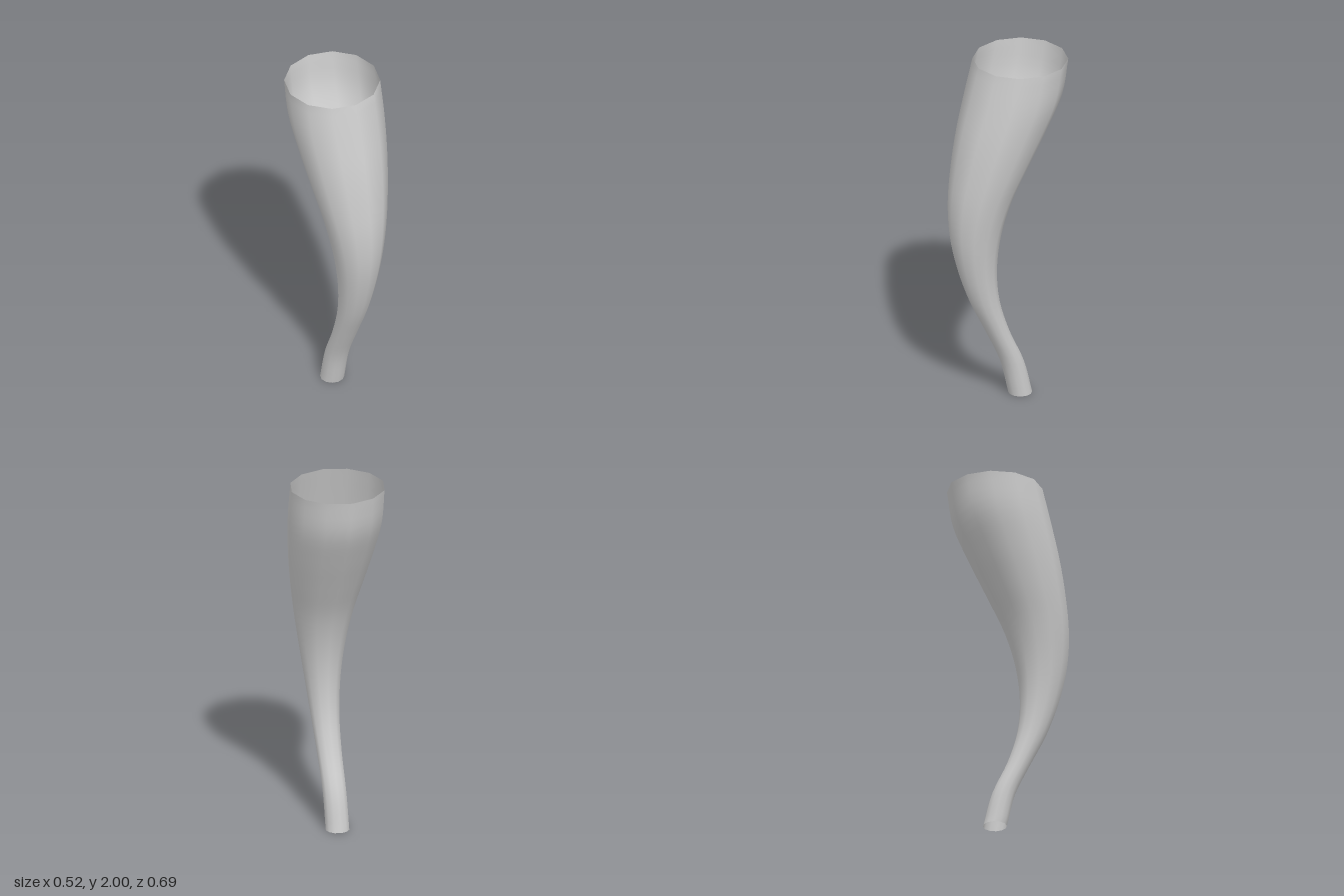
import * as THREE from 'three';
import { mergeVertices } from 'three/addons/utils/BufferGeometryUtils.js';

const HEIGHT = 2;

// Horizontal sections at equal steps of height: [front z, back z, half width]
const SECTIONS = [
  [-0.02, -0.15, 0.066],
  [0.03, -0.098, 0.066],
  [0.122, -0.008, 0.070],
  [0.22, 0.054, 0.081],
  [0.291, 0.072, 0.101],
  [0.334, 0.05, 0.130],
  [0.341, -0.01, 0.166],
  [0.318, -0.11, 0.204],
  [0.28, -0.216, 0.236],
  [0.228, -0.31, 0.258],
  [0.173, -0.345, 0.260],
];

export function createModel() {
  const group = new THREE.Group();
  group.name = 'curvedHorn';

  const profile = new THREE.CatmullRomCurve3(
    SECTIONS.map((s) => new THREE.Vector3(...s)), false, 'catmullrom', 0.5);

  // Open twelve-sided tube, each ring fitted to the swept profile
  let geometry = new THREE.CylinderGeometry(1, 1, HEIGHT, 12, 40, true);
  geometry.translate(0, HEIGHT / 2, 0);
  geometry.deleteAttribute('uv');
  geometry.deleteAttribute('normal');
  geometry = mergeVertices(geometry);

  const pos = geometry.attributes.position;
  for (let i = 0; i < pos.count; i++) {
    const y = pos.getY(i);
    const t = THREE.MathUtils.clamp(y / HEIGHT, 0, 1);
    const { x: front, y: back, z: halfWidth } = profile.getPoint(t);
    const z = (front + back) / 2 + pos.getZ(i) * (front - back) / 2;
    pos.setXYZ(i, pos.getX(i) * halfWidth, y, z);
  }
  geometry.computeVertexNormals();

  const shell = new THREE.Mesh(geometry, new THREE.MeshStandardMaterial({
    color: 0xcccccc, side: THREE.DoubleSide,
  }));
  shell.name = 'hornShell';
  group.add(shell);
  return group;
}
